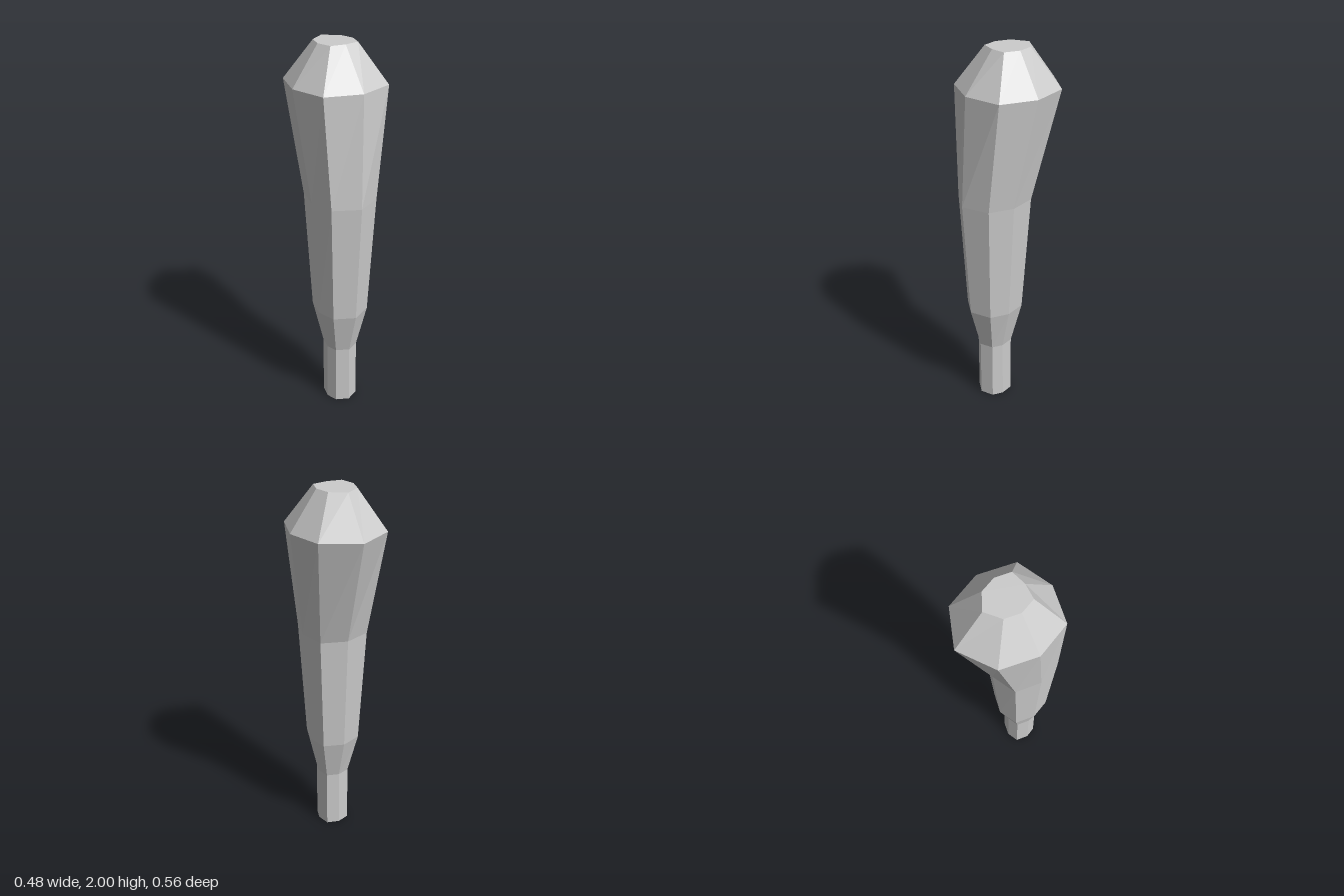
import * as THREE from 'three';

// Eight-sided cross-sections, bottom to top. Each is symmetric about x = cx;
// offsets are measured from the section's centre (cx, cz).
const sections = [
  { y: 0.00, cx: -0.02, cz: 0.09, side: 0.084, cornerX: 0.066, cornerF: 0.058, cornerB: 0.07, front: 0.09, back: 0.09 },
  { y: 0.335, cx: -0.02, cz: 0.09, side: 0.084, cornerX: 0.066, cornerF: 0.058, cornerB: 0.07, front: 0.09, back: 0.09 },
  { y: 0.57, cx: -0.02, cz: 0.085, side: 0.136, cornerX: 0.107, cornerF: 0.102, cornerB: 0.108, front: 0.155, back: 0.145 },
  { y: 1.22, cx: -0.018, cz: 0.08, side: 0.17, cornerX: 0.135, cornerF: 0.13, cornerB: 0.135, front: 0.198, back: 0.18 },
  { y: 1.80, cx: 0, cz: 0.007, side: 0.242, cornerX: 0.187, cornerF: 0.187, cornerB: 0.187, front: 0.247, back: 0.287 },
  { y: 2.00, cx: 0, cz: 0.007, side: 0.10, cornerX: 0.078, cornerF: 0.078, cornerB: 0.079, front: 0.09, back: 0.131 },
];

// Corners of a section, running front -> left (+x) -> back -> right
function ring(s) {
  return [
    [0, s.front], [s.cornerX, s.cornerF], [s.side, 0], [s.cornerX, -s.cornerB],
    [0, -s.back], [-s.cornerX, -s.cornerB], [-s.side, 0], [-s.cornerX, s.cornerF],
  ].map(([x, z]) => [s.cx + x, s.y, s.cz + z]);
}

// Skin between the sections, closed with a flat cap at each end
function loft(list) {
  const rings = list.map(ring);
  const n = rings[0].length;
  const last = rings.length - 1;
  const index = [];
  for (let i = 0; i < last; i++) {
    for (let j = 0; j < n; j++) {
      const k = (j + 1) % n;
      const a = i * n + j, b = i * n + k;
      index.push(a, b, b + n, a, b + n, a + n);
    }
  }
  for (let j = 1; j < n - 1; j++) {
    index.push(0, j + 1, j);
    index.push(last * n, last * n + j, last * n + j + 1);
  }
  const geometry = new THREE.BufferGeometry();
  geometry.setAttribute('position', new THREE.Float32BufferAttribute(rings.flat(2), 3));
  geometry.setIndex(index);
  const faceted = geometry.toNonIndexed();
  faceted.computeVertexNormals();
  return faceted;
}

export function createModel() {
  const group = new THREE.Group();
  group.name = 'club';
  const material = new THREE.MeshStandardMaterial({ color: 0xcccccc, flatShading: true });

  // Narrow grip, and the swelling head that leans backwards
  const parts = [['grip', sections.slice(0, 2)], ['head', sections.slice(1)]];
  const [gripSections, headSections] = parts.map((p) => p[1]);
  const body = new THREE.Mesh(loft([...gripSections, ...headSections.slice(1)]), material);
  body.name = 'clubBody';
  group.add(body);
  return group;
}
